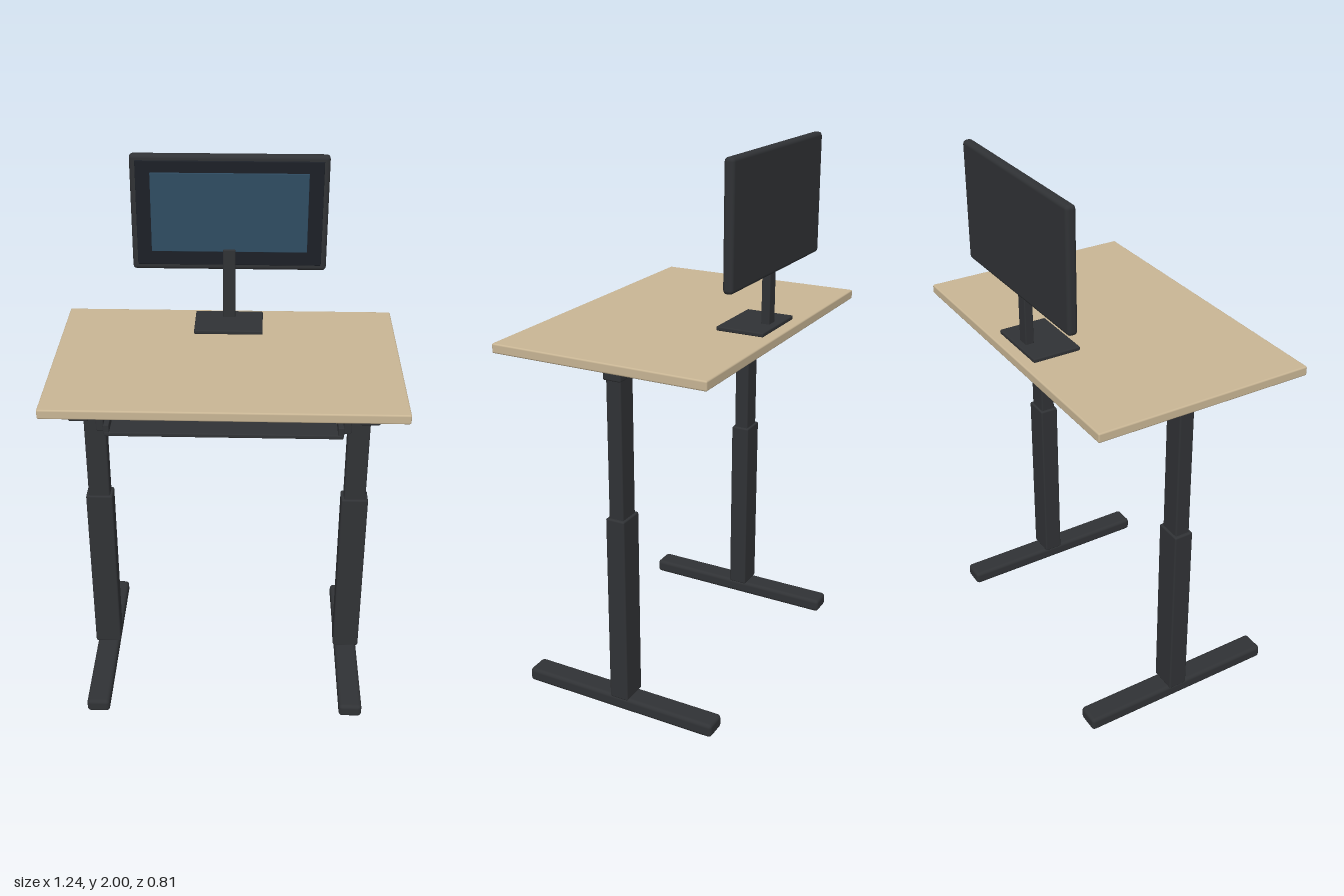
import * as THREE from 'three';
import { RoundedBoxGeometry } from 'three/addons/geometries/RoundedBoxGeometry.js';

const paint = (color) => new THREE.MeshStandardMaterial({ color });

export function createModel() {
  const model = new THREE.Group();
  model.name = 'standingDesk';
  const metal = paint(0x303235);
  const black = paint(0x1c2027);
  const wood = paint(0xc8b594);
  const glass = paint(0x2f4c62);

  // Softly rounded box given by its extents on each axis
  function box(parent, name, [x0, x1], [y0, y1], [z0, z1], mat = metal, r = 0.006) {
    const size = [x1 - x0, y1 - y0, z1 - z0];
    const radius = Math.min(r, Math.min(...size) * 0.45);
    const mesh = new THREE.Mesh(new RoundedBoxGeometry(...size, 2, radius), mat);
    mesh.position.set((x0 + x1) / 2, (y0 + y1) / 2, (z0 + z1) / 2);
    mesh.name = name;
    parent.add(mesh);
    return mesh;
  }

  function group(name) {
    const g = new THREE.Group();
    g.name = name;
    model.add(g);
    return g;
  }

  box(model, 'tabletop', [-0.62, 0.62], [1.33, 1.365], [-0.41, 0.405], wood);

  // Mirrored pair of telescoping legs with foot, support arm and bracket
  for (const s of [1, -1]) {
    const side = group(s > 0 ? 'leftLeg' : 'rightLeg');
    const span = (a, b) => (s > 0 ? [a, b] : [-b, -a]);
    box(side, 'foot', span(0.447, 0.535), [0, 0.052], [-0.39, 0.382], metal, 0.014);
    box(side, 'lowerColumn', span(0.44, 0.542), [0.05, 0.77], [-0.054, 0.019]);
    box(side, 'upperColumn', span(0.45, 0.532), [0.76, 1.32], [-0.046, 0.011]);
    box(side, 'supportArm', span(0.457, 0.525), [1.295, 1.33], [-0.365, 0.355]);
    box(side, 'beamBracket', span(0.39, 0.542), [1.275, 1.317], [-0.052, 0.017]);
    // Slide for the keyboard tray: fixed channel and moving runner
    box(side, 'slideChannel', span(0.4, 0.425), [1.285, 1.33], [0.06, 0.395], metal, 0.003);
    box(side, 'slideRunner', span(0.382, 0.402), [1.272, 1.308], [0.07, 0.397], metal, 0.003);
  }

  box(model, 'crossBeam', [-0.45, 0.45], [1.287, 1.32], [-0.042, 0.007]);

  // Keyboard tray
  const tray = group('keyboardTray');
  box(tray, 'trayPanel', [-0.4, 0.4], [1.265, 1.28], [0.075, 0.398], metal, 0.004);
  box(tray, 'trayRearLip', [-0.385, 0.385], [1.278, 1.288], [0.062, 0.08], metal, 0.003);

  // Monitor
  const monitor = group('monitor');
  box(monitor, 'stand', [-0.128, 0.128], [1.364, 1.38], [-0.37, -0.19], metal, 0.005);
  box(monitor, 'neck', [-0.023, 0.023], [1.37, 1.65], [-0.345, -0.313], metal, 0.004);
  box(monitor, 'housing', [-0.36, 0.36], [1.565, 2], [-0.364, -0.327], metal, 0.014);
  box(monitor, 'bezel', [-0.34, 0.34], [1.587, 1.98], [-0.34, -0.323], black, 0.003);
  box(monitor, 'screen', [-0.287, 0.287], [1.64, 1.937], [-0.33, -0.319], glass, 0.002);

  return model;
}
